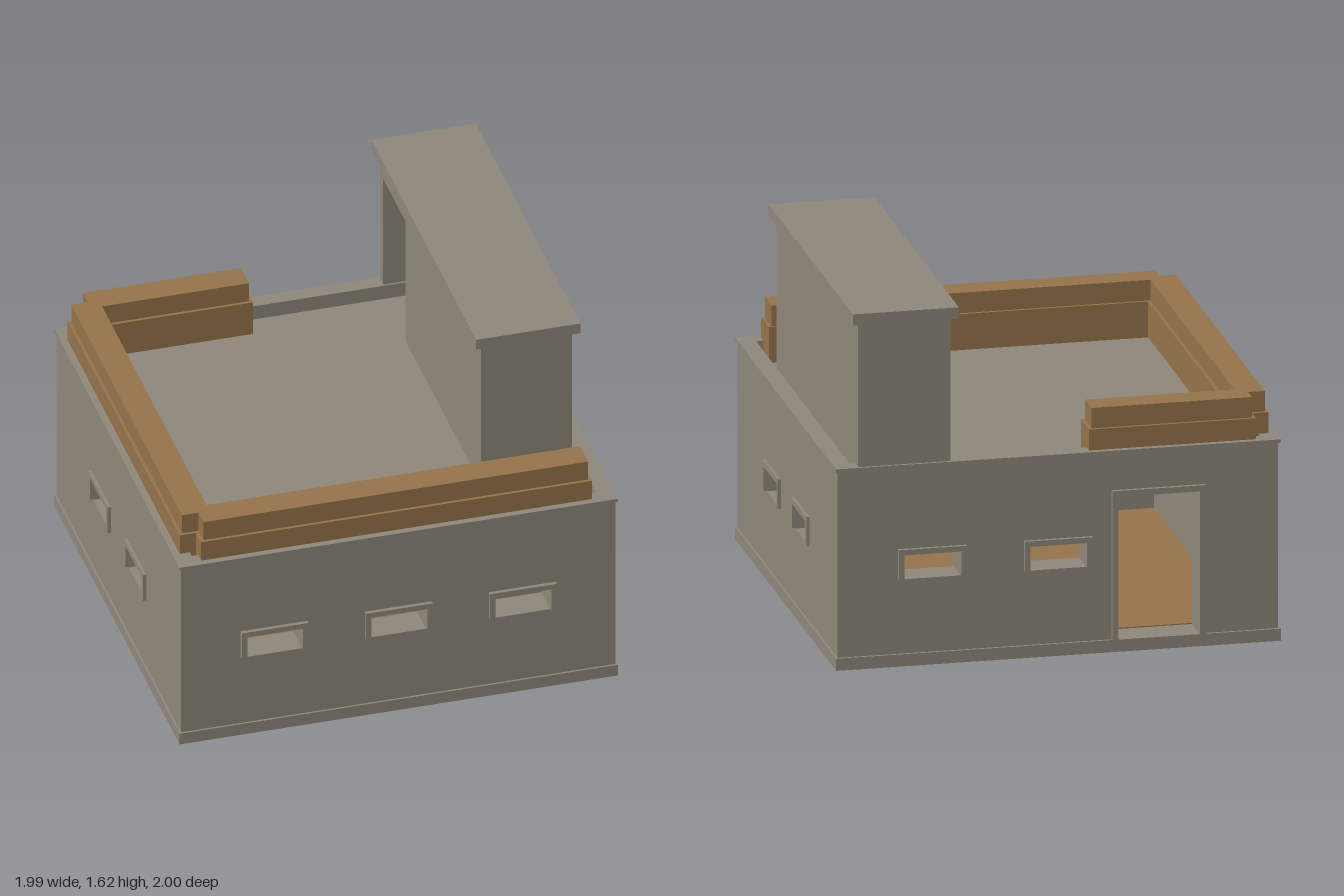
import * as THREE from 'three';

export function createModel() {
  const model = new THREE.Group();
  const plaster = new THREE.MeshStandardMaterial({ name: 'plaster', color: 0x8d8679 });
  const earth = new THREE.MeshStandardMaterial({ name: 'earthBrown', color: 0x94734b });

  const add = (name, geometry, material = plaster) => {
    const mesh = new THREE.Mesh(geometry, material);
    mesh.name = name;
    model.add(mesh);
    return mesh;
  };
  // Box given by its limits on each axis
  const box = (name, x0, x1, y0, y1, z0, z1, material) =>
    add(name, new THREE.BoxGeometry(x1 - x0, y1 - y0, z1 - z0)
      .translate((x0 + x1) / 2, (y0 + y1) / 2, (z0 + z1) / 2), material);

  // Extruded rectangle [u0, u1, v0, v1] with rectangular holes
  const corners = ([u0, u1, v0, v1]) =>
    [[u0, v0], [u1, v0], [u1, v1], [u0, v1]].map(p => new THREE.Vector2(...p));
  const panel = (rect, holes, depth) => {
    const shape = new THREE.Shape(corners(rect));
    holes.forEach(h => shape.holes.push(new THREE.Path(corners(h).reverse())));
    return new THREE.ExtrudeGeometry(shape, { depth, bevelEnabled: false });
  };
  // Horizontal slab, with v running along -z
  const slab = (rect, holes, y0, y1) =>
    panel(rect, holes, y1 - y0).rotateX(-Math.PI / 2).translate(0, y0, 0);
  // Three-sided trim around the top and sides of an opening
  const trim = ([u0, u1, v0, v1], w, lift, depth) => {
    const y = v0 + lift;
    const pts = [[u0 - w, y], [u0, y], [u0, v1], [u1, v1], [u1, y], [u1 + w, y], [u1 + w, v1 + w], [u0 - w, v1 + w]];
    return new THREE.ExtrudeGeometry(new THREE.Shape(pts.map(p => new THREE.Vector2(...p))),
      { depth, bevelEnabled: false });
  };
  const windowAt = u => [u - 0.126, u + 0.126, 0.392, 0.505];

  // Base and interior floor
  box('plinth', -0.99, 0.99, 0, 0.055, -0.982, 0.992);
  box('floor', -0.84, 0.84, 0.055, 0.06, -0.83, 0.84, earth);

  // Front and back walls
  const T = 0.14, ceiling = 0.79, roofTop = 0.847;
  const frontHoles = [-0.56, 0, 0.56].map(windowAt);
  const door = [-0.629, -0.265, 0.055, 0.705];
  const backHoles = [windowAt(0), windowAt(0.56)];
  add('frontWall', panel([-0.98, 0.98, 0.055, ceiling], frontHoles, T).translate(0, 0, 0.842));
  // The door reaches the plinth, so the back wall is an outline with a notch
  const back = new THREE.Shape([[-0.98, 0.055], [door[0], 0.055], [door[0], door[3]], [door[1], door[3]],
    [door[1], 0.055], [0.98, 0.055], [0.98, ceiling], [-0.98, ceiling]].map(p => new THREE.Vector2(...p)));
  backHoles.forEach(h => back.holes.push(new THREE.Path(corners(h).reverse())));
  add('backWall', new THREE.ExtrudeGeometry(back, { depth: T, bevelEnabled: false }).translate(0, 0, -0.97));
  frontHoles.forEach(h => add('frontWindowTrim', trim(h, 0.025, 0.004, 0.018).translate(0, 0, 0.982)));
  backHoles.forEach(h => add('backWindowTrim', trim(h, 0.025, 0.004, 0.017).translate(0, 0, -0.987)));
  add('doorTrim', trim(door, 0.027, 0, 0.017).translate(0, 0, -0.987));

  // Side walls, with u running along -z
  const sideHoles = [-0.286, 0.272].map(windowAt);
  for (const [x, trimX, side] of [[0.84, 0.98, 'left'], [-0.98, -0.995, 'right']]) {
    add(side + 'Wall', panel([-0.842, 0.83, 0.055, ceiling], sideHoles, T)
      .rotateY(Math.PI / 2).translate(x, 0, 0));
    sideHoles.forEach(h => add(side + 'WindowTrim', trim(h, 0.025, 0.004, 0.015)
      .rotateY(Math.PI / 2).translate(trimX, 0, 0)));
  }

  // Sunken roof with a stairwell, the parapet round it and its coping
  const inner = [-0.913, 0.913, -0.915, 0.91];
  add('roof', slab(inner, [[0.533, 0.835, -0.565, 0.57]], ceiling, roofTop));
  add('parapet', slab([-0.98, 0.98, -0.982, 0.97], [inner], ceiling, 0.9));
  add('coping', slab([-0.99, 0.99, -0.992, 0.982], [inner], 0.9, 0.915));

  // Stair tower with an open doorway facing the roof
  const y1 = 1.57, doorTop = 1.465;
  box('towerFront', 0.478, 0.889, roofTop, y1, 0.565, 0.62);
  box('towerBack', 0.478, 0.889, roofTop, y1, -0.97, -0.92);
  box('towerOuterWall', 0.835, 0.889, roofTop, y1, -0.92, 0.565);
  box('towerInnerWall', 0.478, 0.533, roofTop, y1, -0.57, 0.565);
  box('towerLintel', 0.478, 0.533, doorTop, y1, -0.92, -0.57);
  box('towerCap', 0.448, 0.919, y1, 1.62, -1, 0.647);

  // Open-backed flight of steps climbing toward the back
  const steps = 19, rise = 0.042, run = 0.054;
  for (let i = 0; i < steps; i++) {
    const top = 0.087 + rise * i, backZ = 0.404 - run * i;
    box('stairStep', 0.533, 0.835, Math.max(0.055, top - 0.068), top, backZ, backZ + run);
  }

  // Two stacked courses of breastwork, the upper one set in
  const runs = {
    Front: [-0.884, 0.881, 0.807, 0.962],
    Side: [-0.958, -0.806, -0.88, 0.884],
    Back: [-0.884, -0.142, -0.955, -0.801],
  };
  for (const [course, y0, top, inset] of [['lower', roofTop, 1.01, 0], ['upper', 1.01, 1.103, 0.014]])
    for (const [side, [x0, x1, z0, z1]] of Object.entries(runs))
      box(course + side + 'Breastwork', x0 + inset, x1 - inset, y0, top, z0 + inset, z1 - inset, earth);
  return model;
}
